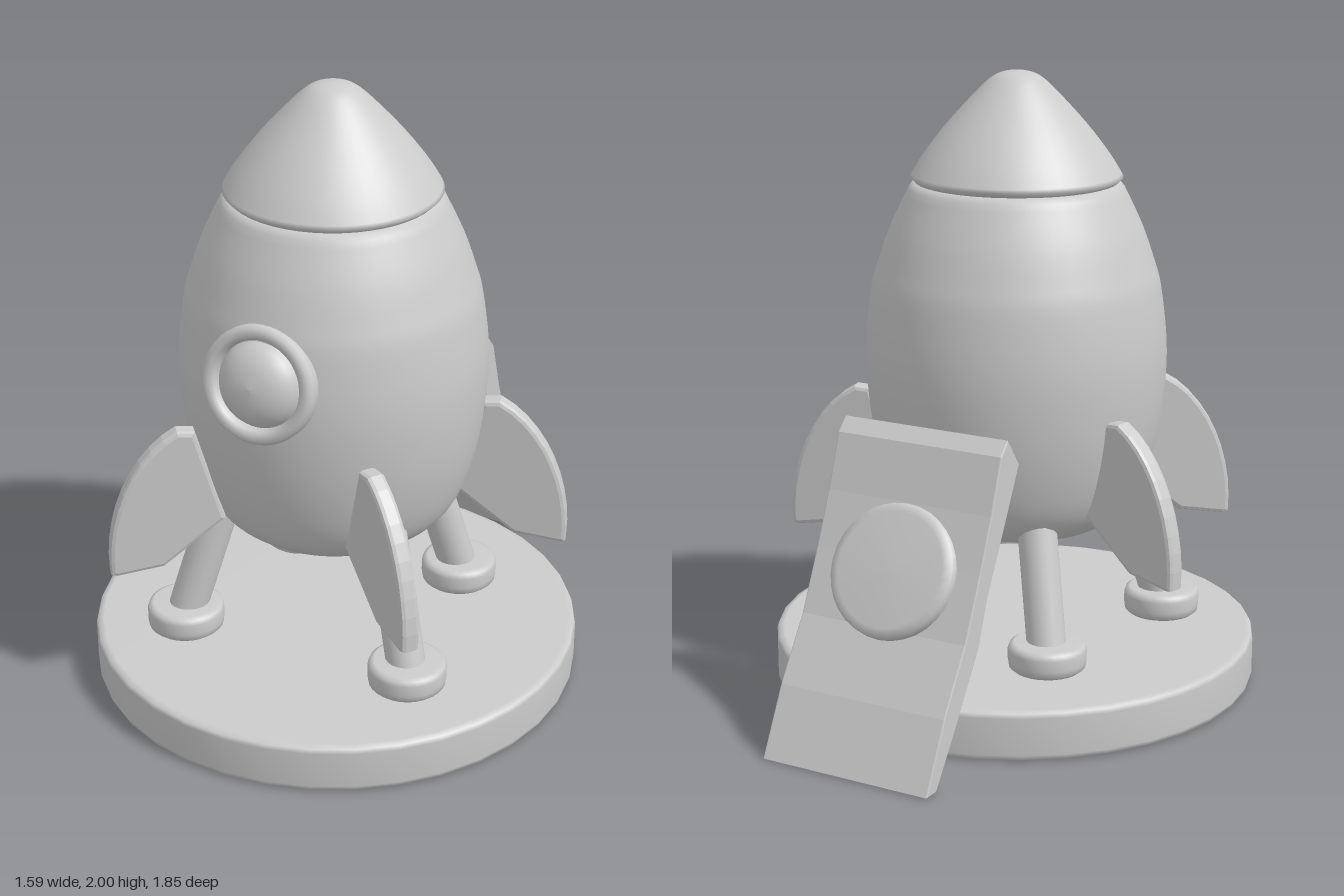
import * as THREE from 'three';

const AXIS_X = -0.006, AXIS_Z = 0.126; // rocket centre line
const mat = new THREE.MeshStandardMaterial({ color: 0xcccccc });
const V2 = (p) => p.map(([x, y]) => new THREE.Vector2(x, y));

function add(parent, name, geometry) {
  const mesh = new THREE.Mesh(geometry, mat);
  mesh.name = name;
  parent.add(mesh);
  return mesh;
}

const lathe = (points, segments = 48) => new THREE.LatheGeometry(V2(points), segments);

// Extrudes a side profile with a slim rounded edge, centred on its thickness
function slab(shape, width, bevel) {
  const g = new THREE.ExtrudeGeometry(shape, {
    depth: width - 2 * bevel, curveSegments: 10, bevelEnabled: true,
    bevelThickness: bevel, bevelSize: bevel, bevelOffset: -bevel, bevelSegments: 2,
  });
  return g.translate(0, 0, -(width - 2 * bevel) / 2);
}

function rod(parent, name, a, b, radius) {
  const dir = b.clone().sub(a);
  const mesh = add(parent, name, new THREE.CapsuleGeometry(radius, dir.length(), 6, 20));
  mesh.position.copy(a).add(b).multiplyScalar(0.5);
  mesh.quaternion.setFromUnitVectors(new THREE.Vector3(0, 1, 0), dir.normalize());
}

export function createModel() {
  const root = new THREE.Group();
  root.name = 'rocket';

  // Launch pad
  const pad = add(root, 'launchPad', lathe([
    [0, 0], [0.77, 0], [0.79, 0.004], [0.795, 0.02], [0.795, 0.14], [0.79, 0.154], [0.77, 0.16], [0, 0.16],
  ], 36));
  pad.position.set(0, 0, 0.13);

  // Egg-shaped hull with a smooth upper shoulder
  const side = new THREE.SplineCurve(V2([
    [0.31, 0.54], [0.38, 0.6], [0.43, 0.7], [0.472, 0.88], [0.488, 1.1],
    [0.468, 1.3], [0.441, 1.4], [0.402, 1.51], [0.345, 1.63],
  ])).getPoints(32);
  const hull = add(root, 'hull', new THREE.LatheGeometry([
    ...V2([[0, 0.54], [0.3, 0.54]]), ...side, ...V2([[0.33, 1.648], [0.3, 1.65], [0, 1.65]]),
  ], 48));
  hull.position.set(AXIS_X, 0, AXIS_Z);

  // Nose cone, tucked in underneath
  const cone = new THREE.SplineCurve(V2([
    [0.34, 1.665], [0.3, 1.73], [0.24, 1.81], [0.165, 1.895], [0.09, 1.97], [0.045, 1.994], [0, 2],
  ])).getPoints(24);
  const nose = add(root, 'noseCone', new THREE.LatheGeometry([
    ...V2([[0, 1.64], [0.29, 1.64], [0.325, 1.65]]), ...cone,
  ], 48));
  nose.position.set(AXIS_X, 0, AXIS_Z);

  // Porthole: ring, backing and domed glass, tilted to follow the hull
  const porthole = new THREE.Group();
  porthole.name = 'porthole';
  porthole.position.set(-0.02, 1.208, 0.606);
  porthole.rotation.x = -0.17;
  root.add(porthole);
  add(porthole, 'portholeRing', lathe([
    [0.135, -0.06], [0.178, -0.06], [0.184, -0.02], [0.184, 0.012], [0.175, 0.025],
    [0.155, 0.028], [0.142, 0.018], [0.135, -0.005], [0.135, -0.06],
  ])).rotation.x = Math.PI / 2;
  add(porthole, 'portholeGlass', lathe([
    [0.14, -0.03], [0.136, -0.005], [0.12, 0.025], [0.09, 0.048], [0.05, 0.062], [0, 0.067],
  ])).rotation.x = Math.PI / 2;

  // Fins: one profile, measured inward from the outer tip
  const fin = new THREE.Shape();
  fin.moveTo(0, 0.47);
  fin.bezierCurveTo(0.015, 0.66, -0.07, 0.88, -0.225, 0.96);
  fin.lineTo(-0.28, 0.955);
  fin.lineTo(-0.37, 0.64);
  fin.lineTo(-0.17, 0.485);
  fin.lineTo(-0.02, 0.465);
  const finGeometry = slab(fin, 0.062, 0.014);
  const fins = [['front', 0.52, 0.69, 0.64], ['back', 0.705, -0.125, -0.27]];
  const legs = [
    ['front', [0.397, 0.21, 0.438], [0.285, 0.65, 0.355]],
    ['back', [0.3, 0.21, -0.205], [0.205, 0.65, -0.11]],
  ];
  for (const s of [1, -1]) {
    const label = s > 0 ? 'Left' : 'Right';
    for (const [end, x, z, angle] of fins) {
      const mesh = add(root, `${end}${label}Fin`, finGeometry);
      mesh.position.set(s * x, 0, z);
      mesh.rotation.y = s > 0 ? -angle : angle - Math.PI;
    }

    // Splayed landing legs on round feet
    for (const [end, foot, hip] of legs) {
      const a = new THREE.Vector3(s * foot[0], foot[1], foot[2]);
      const b = new THREE.Vector3(s * hip[0], hip[1], hip[2]);
      rod(root, `${end}${label}Leg`, a, b, 0.063);
      add(root, `${end}${label}Foot`, lathe([
        [0, -0.045], [0.11, -0.045], [0.122, -0.035], [0.125, -0.015], [0.125, 0.02],
        [0.12, 0.035], [0.105, 0.043], [0, 0.043],
      ], 28)).position.copy(a);
    }
  }

  // Open hatch leaning from the hull down to the ground; profile is (z, y)
  const hatchShape = new THREE.Shape(V2([
    [-0.358, 0.875], [-0.45, 0.7], [-0.555, 0.507], [-0.61, 0.363], [-0.755, 0.15], [-0.865, 0],
    [-0.92, 0.003], [-0.815, 0.21], [-0.69, 0.4], [-0.6, 0.59], [-0.53, 0.755], [-0.47, 0.925], [-0.428, 0.967],
  ]));
  const hatch = add(root, 'hatchRamp', slab(hatchShape, 0.58, 0.004).rotateY(-Math.PI / 2));
  hatch.position.x = 0.009;

  // Shallow round window on the hatch's outer face
  const disc = add(root, 'hatchWindow', lathe([
    [0, -0.03], [0.208, -0.03], [0.212, -0.01], [0.208, 0.016], [0.18, 0.026], [0, 0.03],
  ], 32));
  disc.position.set(0.009, 0.565, -0.625);
  disc.quaternion.setFromUnitVectors(new THREE.Vector3(0, 1, 0), new THREE.Vector3(0, 0.46, -0.888).normalize());

  return root;
}
